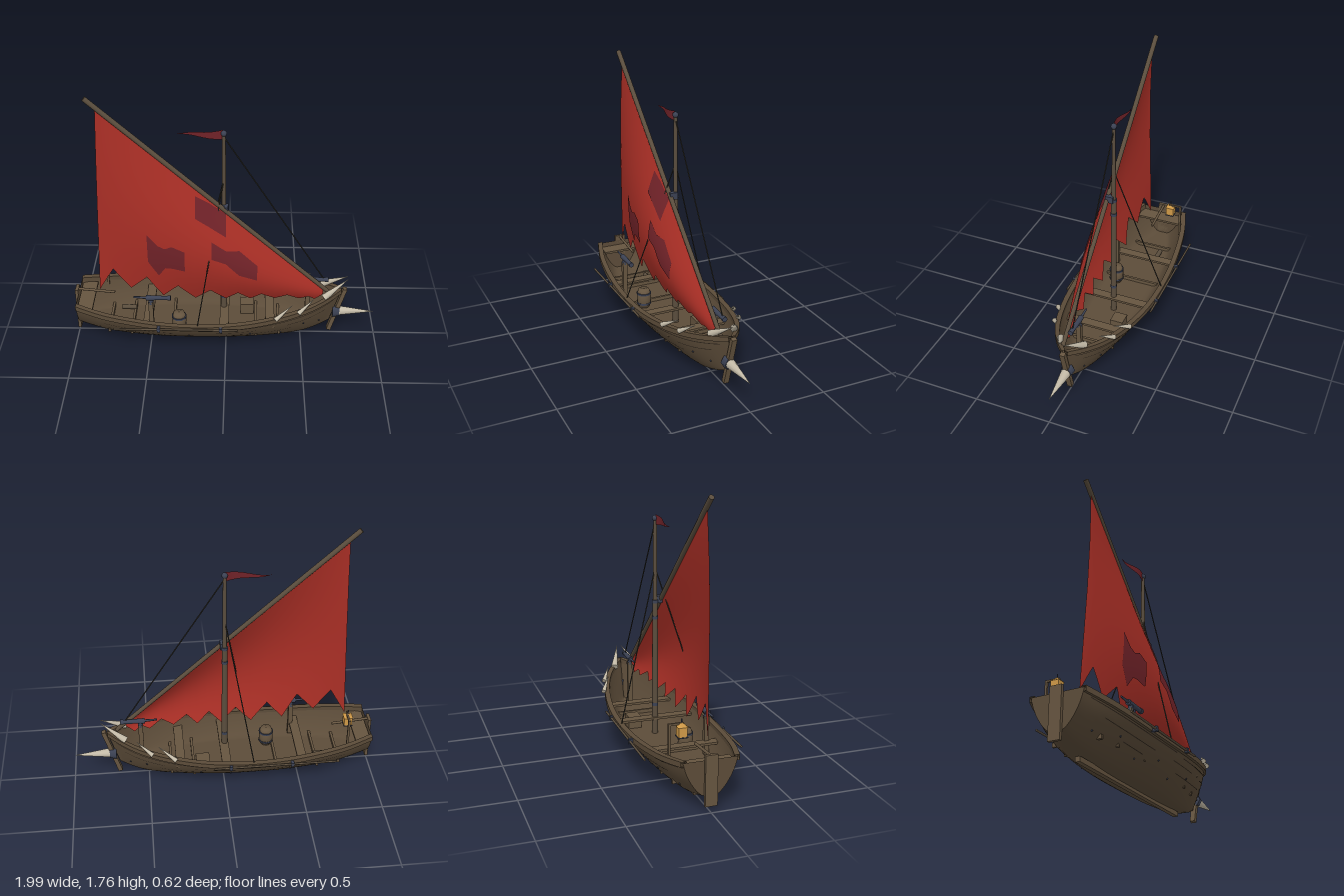
import * as THREE from 'three';

const V = (x, y, z) => new THREE.Vector3(x, y, z);
const paint = (name, color, side = THREE.FrontSide) => {
  const m = new THREE.MeshStandardMaterial({ color, side });
  m.name = name;
  return m;
};

export function createModel() {
  const model = new THREE.Group();
  model.name = 'sailingBoat';
  const both = THREE.DoubleSide;
  const wood = paint('hull wood', 0x5c4c39, both);
  const trim = paint('trim wood', 0x665540);
  const spar = paint('spar wood', 0x5a4d3d);
  const seam = paint('dark seam', 0x2f261d, both);
  const iron = paint('iron', 0x3c4254);
  const red = paint('sail red', 0xa82e25, both);
  const patchRed = paint('patch red', 0x702228, both);
  const bone = paint('bone', 0xc4bba8);
  const rope = paint('rope', 0x34322c);
  const amber = paint('lantern amber', 0xd09a48);

  const add = (name, geo, mat, x = 0, y = 0, z = 0) => {
    const m = new THREE.Mesh(geo, mat);
    m.name = name;
    m.position.set(x, y, z);
    model.add(m);
    return m;
  };
  const box = (name, mat, w, h, d, x, y, z) => add(name, new THREE.BoxGeometry(w, h, d), mat, x, y, z);
  // Tapered round bar between two points
  const rod = (name, mat, a, b, r1, r2 = r1, sides = 10) => {
    const m = add(name, new THREE.CylinderGeometry(r2, r1, a.distanceTo(b), sides), mat);
    m.position.copy(a).add(b).multiplyScalar(0.5);
    m.quaternion.setFromUnitVectors(V(0, 1, 0), b.clone().sub(a).normalize());
    return m;
  };
  // Surface from a rule point(i, j)
  const grid = (ni, nj, point, flat = false) => {
    const pos = [], idx = [];
    for (let i = 0; i <= ni; i++) for (let j = 0; j <= nj; j++) pos.push(...point(i, j).toArray());
    for (let i = 0; i < ni; i++) for (let j = 0; j < nj; j++) {
      const a = i * (nj + 1) + j, b = a + nj + 1;
      idx.push(a, a + 1, b, b, a + 1, b + 1);
    }
    let g = new THREE.BufferGeometry();
    g.setAttribute('position', new THREE.Float32BufferAttribute(pos, 3));
    g.setIndex(idx);
    if (flat) g = g.toNonIndexed();
    g.computeVertexNormals();
    return g;
  };

  // Hull lines: x, sheer height, bottom height, half width
  const stations = [[-0.98, 0.315, 0.1, 0.165], [-0.8, 0.29, 0.05, 0.22], [-0.6, 0.27, 0.028, 0.255],
    [-0.4, 0.255, 0.02, 0.275], [-0.2, 0.25, 0.02, 0.283], [0, 0.255, 0.02, 0.278], [0.2, 0.27, 0.022, 0.255],
    [0.4, 0.295, 0.032, 0.21], [0.55, 0.32, 0.05, 0.155], [0.67, 0.345, 0.08, 0.085], [0.76, 0.365, 0.11, 0.012]];
  const sheer = new THREE.CatmullRomCurve3(stations.map(s => V(s[0], s[1], s[3])));
  const bottom = new THREE.CatmullRomCurve3(stations.map(s => V(s[0], s[2], 0)));
  const profile = new THREE.SplineCurve([[0, 0], [0.25, 0], [0.5, 0.17], [0.72, 0.42], [0.89, 0.7], [1, 1]]
    .map(p => new THREE.Vector2(...p)));
  // Point on the hull: u stern to bow, s keel to gunwale, signed by side
  const hullAt = (u, s, out = 0) => {
    const t = sheer.getPoint(u), b = bottom.getPoint(u), p = profile.getPoint(Math.abs(s));
    const f = Math.max(0, p.y);
    const x = t.x - 0.07 * (1 - f) * Math.max(0, u - 0.7) / 0.3;
    return V(x, b.y + (t.y - b.y) * f, Math.sign(s) * Math.max(0, p.x * (t.z + out)));
  };
  const halfWidth = x => {
    let k = 0;
    while (k < stations.length - 2 && stations[k + 1][0] < x) k++;
    const [a, b] = [stations[k], stations[k + 1]];
    return THREE.MathUtils.mapLinear(x, a[0], b[0], a[3], b[3]);
  };
  add('hull', grid(40, 24, (i, j) => hullAt(i / 40, j / 12 - 1)), wood);
  add('hullInside', grid(40, 24, (i, j) => {
    const p = hullAt(i / 40, j / 12 - 1, -0.018);
    return p.setY(Math.max(p.y, 0.1));
  }), wood);
  add('transom', grid(12, 1, (i, j) => hullAt(0, (i / 12) * (j ? 1 : -1))), wood);
  for (const side of [-1, 1]) {
    // Gunwale cap, plank seams and nails
    const ring = [[0.01, -0.025], [0.01, 0.008], [-0.024, 0.008], [-0.024, -0.025], [0.01, -0.025]];
    add('gunwale', grid(40, 4, (i, j) => {
      const p = hullAt(i / 40, side);
      return V(p.x, p.y + ring[j][1], side * Math.max(0, Math.abs(p.z) + ring[j][0]));
    }, true), wood);
    for (const [s, u0, u1] of [[0.88, 0.03, 0.45], [0.86, 0.5, 0.95], [0.74, 0.1, 0.34], [0.76, 0.45, 0.6],
      [0.75, 0.7, 0.9], [0.6, 0.2, 0.3], [0.62, 0.5, 0.72]])
      add('plankSeam', grid(16, 1, (i, j) => hullAt(u0 + (u1 - u0) * i / 16, side * (s + j * 0.012), 0.003)), seam);
    for (let k = 0; k < 9; k++) {
      const p = hullAt(0.08 + k * 0.1, side * (k % 2 ? 0.65 : 0.5), 0.001);
      add('nail', new THREE.SphereGeometry(0.006, 6, 4), iron, p.x, p.y, p.z);
    }
    // Pole lashed along the side
    rod('sidePole', spar, V(-0.72, 0.245, side * 0.3), V(0.08, 0.245, side * 0.3), 0.007);
    for (const x of [-0.43, -0.03]) box('poleBracket', iron, 0.02, 0.03, 0.035, x, 0.245, side * 0.292);
    // Bow spikes along the rail
    rod('railSpike', bone, V(0.32, 0.295, side * 0.25), V(0.43, 0.365, side * 0.185), 0.016, 0.001);
    rod('railSpike', bone, V(0.47, 0.315, side * 0.205), V(0.57, 0.385, side * 0.145), 0.016, 0.001);
    rod('bowSpike', bone, V(0.64, 0.35, side * 0.08), V(0.8, 0.455, side * 0.015), 0.024, 0.001);
  }

  // Keel, stem, rudder and tiller
  box('keel', trim, 1.19, 0.03, 0.03, -0.165, 0.015, 0);
  const stem = box('stemPost', trim, 0.028, 0.35, 0.034, 0.738, 0.2, 0);
  stem.rotation.z = -0.27;
  box('rudder', trim, 0.02, 0.31, 0.075, -0.99, 0.195, 0);
  rod('tiller', trim, V(-0.99, 0.34, 0), V(-0.74, 0.315, 0), 0.009);

  // Ram
  rod('ramCollar', iron, V(0.71, 0.185, 0), V(0.755, 0.185, 0), 0.045, 0.038, 6);
  rod('ram', bone, V(0.735, 0.185, 0), V(0.985, 0.18, 0), 0.034, 0.001, 12);

  // Benches, frames and stern deck
  for (const x of [-0.51, -0.01, 0.29])
    box('bench', trim, 0.06, 0.015, 2 * halfWidth(x) * 0.88, x, 0.205, 0);
  for (const x of [-0.77, -0.62, -0.35, 0.2, 0.35])
    box('floorFrame', trim, 0.016, 0.025, 2 * halfWidth(x) * 0.68, x, 0.112, 0);
  box('sternDeck', trim, 0.1, 0.015, 0.31, -0.925, 0.275, 0);

  // Cargo
  box('crate', trim, 0.09, 0.08, 0.085, 0.14, 0.138, -0.1);
  const cask = [[0, -0.065], [0.036, -0.065], [0.046, -0.03], [0.048, 0], [0.046, 0.03], [0.036, 0.065], [0, 0.065]];
  add('barrel', new THREE.LatheGeometry(cask.map(p => new THREE.Vector2(...p)), 14), trim, -0.31, 0.165, 0.1);
  for (const y of [0.13, 0.2]) add('barrelHoop', new THREE.CylinderGeometry(0.049, 0.049, 0.012, 14), iron, -0.31, y, 0.1);
  rod('roll', spar, V(-0.71, 0.13, -0.08), V(-0.61, 0.13, -0.08), 0.016);

  // Mast and rigging
  rod('mast', spar, V(-0.015, 0.1, 0), V(-0.015, 0.99, 0), 0.02, 0.017, 12);
  rod('topMast', spar, V(-0.015, 0.97, 0), V(-0.015, 1.5, 0), 0.014, 0.011, 12);
  for (const y of [0.3, 0.88, 0.985]) rod('mastBand', iron, V(-0.015, y - 0.01, 0), V(-0.015, y + 0.01, 0), 0.021);
  add('mastCap', new THREE.SphereGeometry(0.019, 12, 8), iron, -0.015, 1.512, 0);
  rod('foreStay', rope, V(-0.01, 1.48, 0), V(0.65, 0.43, 0), 0.004, 0.004, 6);
  for (const side of [-1, 1])
    rod('shroud', rope, V(-0.015, 1.2, 0), V(-0.18, 0.26, side * 0.275), 0.004, 0.004, 6);
  const yardY = x => 0.985 - 0.915 * x;
  rod('yard', spar, V(-0.83, 1.75, 0.04), V(0.7, 0.345, 0.04), 0.016, 0.014, 10);
  box('yardParrel', iron, 0.035, 0.045, 0.05, -0.005, 0.995, 0.022);

  // Cloth between top and bottom edges, bellied to the left side of the yard
  const belly = (x, y) => {
    const t = THREE.MathUtils.clamp((x + 0.83) / 1.48, 0, 1), top = yardY(x);
    const v = THREE.MathUtils.clamp((top - y) / Math.max(0.02, top - 0.32), 0, 1);
    return 0.042 + 0.112 * Math.sin(Math.PI * t) ** 0.8 * Math.sin(Math.PI * 0.93 * v);
  };
  const cloth = (cols, lift, sub = 4, rows = 14) => grid((cols.length - 1) * sub, rows, (i, j) => {
    const k = Math.min(Math.floor(i / sub), cols.length - 2), f = i / sub - k;
    const [x, top, low] = cols[k].map((c, n) => c + (cols[k + 1][n] - c) * f);
    const y = top + (low - top) * j / rows;
    return V(x, y, belly(x, y) + lift);
  });
  const foot = [[-0.73, 0.55], [-0.62, 0.4], [-0.51, 0.51], [-0.41, 0.345], [-0.31, 0.45], [-0.2, 0.33],
    [-0.1, 0.42], [0, 0.33], [0.08, 0.4], [0.16, 0.33], [0.23, 0.39], [0.32, 0.335], [0.4, 0.375],
    [0.48, 0.325], [0.54, 0.35], [0.58, 0.315], [0.635, 0.36]];
  add('sail', cloth([[-0.83, 0.38, 0.37], [-0.77, 1.685, 0.48],
    ...foot.map(([x, y]) => [x, Math.max(yardY(x), y), y])], 0), red);
  const patches = [
    [[-0.19, 1.11, 0.975], [-0.11, 1.06, 0.92], [0, 0.975, 0.84]],
    [[-0.495, 0.86, 0.65], [-0.43, 0.785, 0.54], [-0.385, 0.765, 0.61], [-0.34, 0.785, 0.61], [-0.26, 0.75, 0.595]],
    [[-0.09, 0.82, 0.7], [0, 0.755, 0.665], [0.085, 0.745, 0.575], [0.2, 0.635, 0.53]]];
  for (const p of patches) add('sailPatch', cloth(p, 0.006, 4, 6), patchRed);
  add('pennant', grid(10, 2, (i, j) => {
    const t = i / 10;
    return V(-0.02 - 0.28 * t, 1.503 + (j - 1) * 0.032 * (1 - t), 0.012 * Math.sin(t * 6));
  }), patchRed);

  // Swivel guns
  const gun = (x, y, z, base) => {
    box('gunPost', trim, 0.03, y - 0.03 - base, 0.03, x - 0.01, (y - 0.03 + base) / 2, z);
    rod('gunYoke', iron, V(x - 0.01, y - 0.045, z), V(x - 0.01, y, z), 0.018, 0.013, 8);
    rod('gunBarrel', iron, V(x - 0.04, y, z), V(x + 0.11, y, z), 0.018, 0.013);
    rod('gunMuzzle', iron, V(x + 0.1, y, z), V(x + 0.12, y, z), 0.017);
    rod('gunHandle', iron, V(x - 0.12, y + 0.004, z), V(x - 0.03, y, z), 0.006, 0.009, 8);
  };
  gun(-0.475, 0.4, 0.168, 0.12);
  gun(0.55, 0.44, 0, 0.1);

  // Stern lantern on a bracket
  box('lanternPost', trim, 0.014, 0.24, 0.014, -0.81, 0.365, -0.185);
  box('lanternArm', trim, 0.012, 0.012, 0.09, -0.81, 0.48, -0.145);
  box('lanternGlass', amber, 0.052, 0.06, 0.052, -0.815, 0.435, -0.112);
  const roof = add('lanternRoof', new THREE.ConeGeometry(0.042, 0.025, 4), amber, -0.815, 0.477, -0.112);
  roof.rotation.y = Math.PI / 4;
  box('lanternBase', iron, 0.058, 0.006, 0.058, -0.815, 0.403, -0.112);
  rod('lanternHook', iron, V(-0.815, 0.48, -0.112), V(-0.815, 0.51, -0.112), 0.004, 0.004, 6);

  return model;
}
